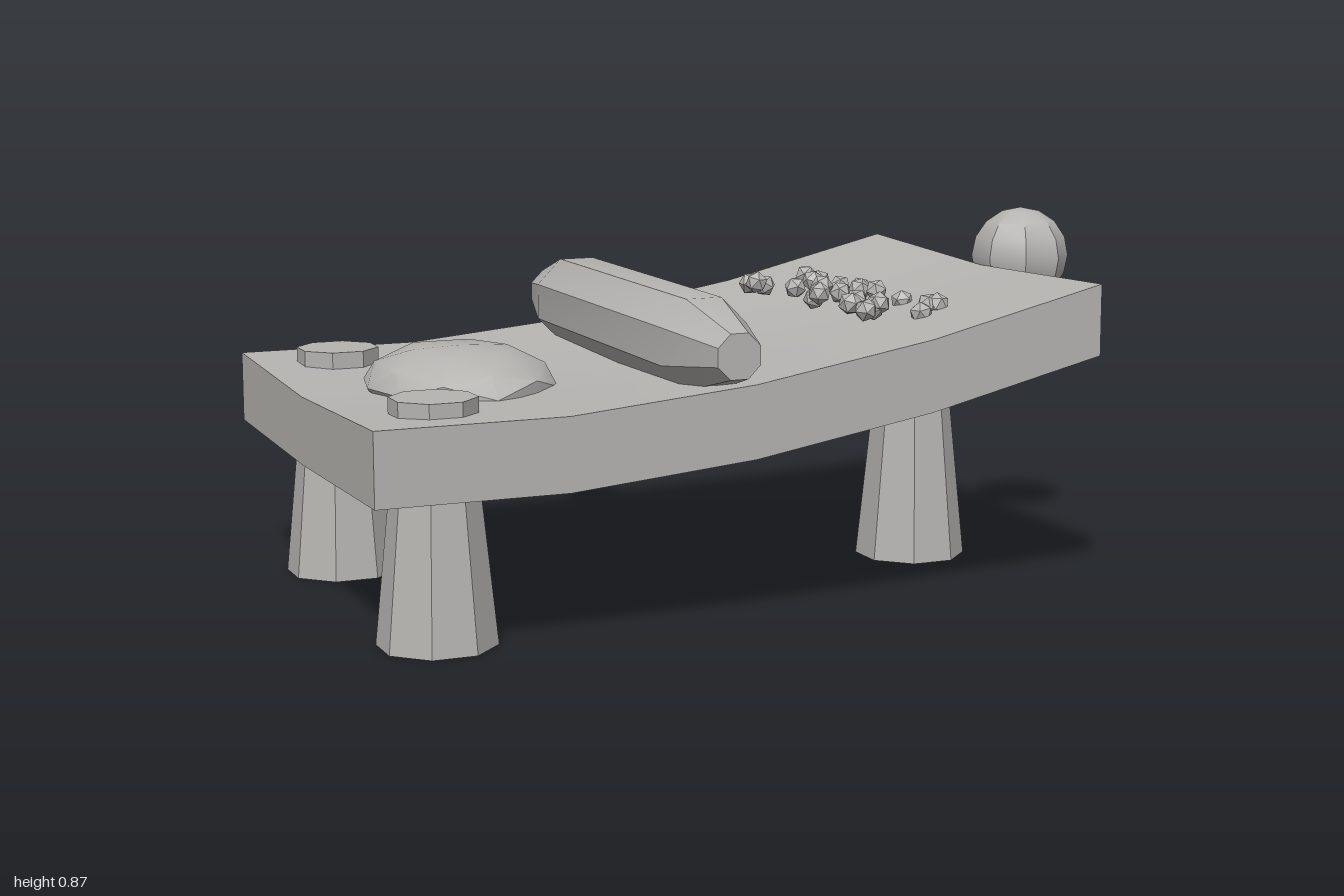
import * as THREE from 'three';
import { toCreasedNormals } from 'three/addons/utils/BufferGeometryUtils.js';

const stone = new THREE.MeshStandardMaterial({ color: 0xb6b4b1 });
stone.name = 'grey stone';

export function createModel() {
  const model = new THREE.Group();
  model.name = 'grindingStone';

  const add = (name, geometry, x, y, z, parent = model) => {
    const mesh = new THREE.Mesh(toCreasedNormals(geometry, 0.55), stone);
    mesh.name = name;
    mesh.position.set(x, y, z);
    parent.add(mesh);
    return mesh;
  };

  // Curved slab: a box bent along x, dished across z, more on top than below
  const rise = [0.53, 0.53, 0.57, 0.645, 0.75];
  const slab = new THREE.BoxGeometry(1.772, 0.17, 1.16, 4, 1, 4);
  const p = slab.attributes.position;
  for (let i = 0; i < p.count; i++) {
    const step = Math.round((p.getX(i) / 1.772 + 0.5) * 4);
    const depth = p.getY(i) > 0 ? 0.02 : 0.011;
    const dip = depth * (1 - Math.abs(p.getZ(i)) / 0.58);
    p.setY(i, p.getY(i) - 0.085 + rise[step] - dip);
  }
  add('slab', slab, -0.114, 0, 0);

  // Tapered eight-sided legs: two at the low end, one at the high end
  const leg = new THREE.CylinderGeometry(0.0975, 0.1375, 0.39, 8).rotateY(Math.PI / 8);
  add('leftLeg', leg, 0.578, 0.195, 0);
  for (const [side, z] of [['front', 0.388], ['back', -0.388]]) {
    add(side + 'Leg', leg, -0.807, 0.195, z);
    // Peg ends showing on the upper face
    const peg = new THREE.CylinderGeometry(0.1, 0.1, 0.06, 8).rotateY(Math.PI / 8);
    add(side + 'Peg', peg, -0.807, 0.53, z);
  }

  // Hand roller with tapered ends
  const rollerProfile = [[0, -0.61], [0.056, -0.61], [0.114, -0.41], [0.114, 0.41], [0.056, 0.61], [0, 0.61]];
  const roller = new THREE.LatheGeometry(rollerProfile.map(([r, y]) => new THREE.Vector2(r, y)), 8);
  roller.rotateY(Math.PI / 8).rotateX(Math.PI / 2);
  add('roller', roller, -0.171, 0.641, 0);

  // Round knob on the raised end
  add('knob', new THREE.SphereGeometry(0.123, 8, 8).rotateY(Math.PI / 8), 0.885, 0.75, 0);

  // Low faceted mound of dough with a flattened top
  const mound = new THREE.IcosahedronGeometry(1, 1);
  const m = mound.attributes.position;
  for (let i = 0; i < m.count; i++) m.setY(i, Math.min(m.getY(i), 0.9));
  mound.scale(0.225, 0.098, 0.28);
  add('mound', mound, -0.62, 0.52, 0);

  // Scattered grains, as [x, z]
  const spots = [
    [0.25, -0.27], [0.25, -0.23], [0.30, -0.29], [0.43, -0.315], [0.43, -0.235],
    [0.35, -0.21], [0.39, -0.19], [0.45, -0.155], [0.48, -0.10], [0.365, -0.085],
    [0.41, -0.07], [0.45, -0.045], [0.31, 0.015], [0.31, -0.015], [0.46, 0.03],
    [0.355, 0.13], [0.48, 0.13], [0.285, 0.235], [0.34, 0.245], [0.31, 0.27],
    [0.355, 0.25], [0.49, 0.26], [0.47, 0.285], [0.49, 0.295], [0.43, 0.325],
  ];
  const grains = new THREE.Group();
  grains.name = 'grains';
  model.add(grains);
  const grain = new THREE.IcosahedronGeometry(0.029, 0);
  spots.forEach(([x, z], i) => {
    const mesh = add('grain', grain, x, 0.677 + 0.01 * Math.sin(i * 2.3), z, grains);
    mesh.rotation.set(i * 0.7, i * 1.3, 0);
  });

  return model;
}
